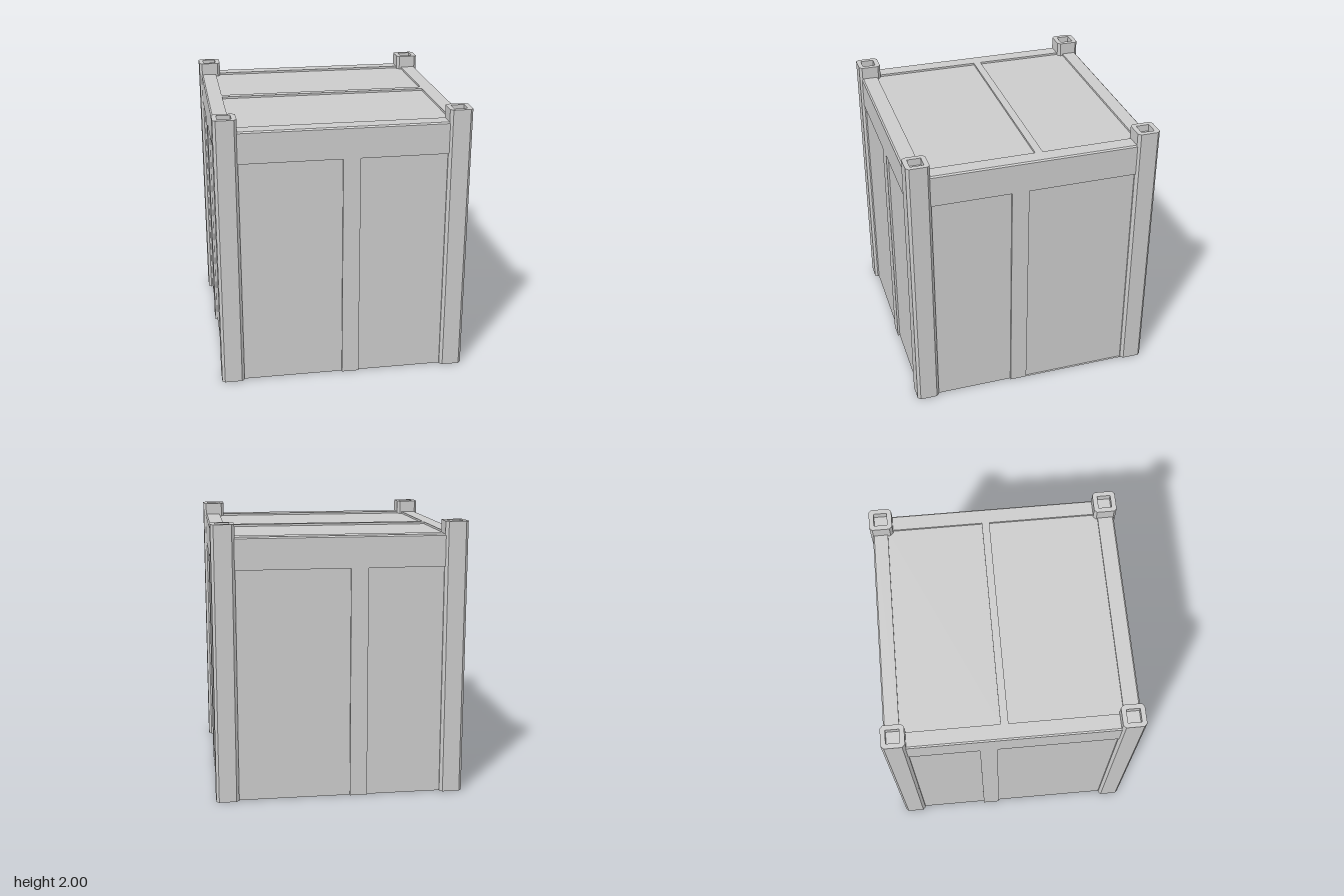
import * as THREE from 'three';

const grey = new THREE.MeshStandardMaterial({ color: 0xcccccc, side: THREE.DoubleSide });
grey.name = 'plain grey';

const POST = 0.823, HALF = 0.0825, OUT = 0.89, ROOF = 1.91, RECESS = 0.015;

// Flat-shaded surface from a list of four-cornered faces
function quads(name, faces) {
  const pos = [];
  for (const [a, b, c, d] of faces) pos.push(...a, ...b, ...c, ...a, ...c, ...d);
  const g = new THREE.BufferGeometry();
  g.setAttribute('position', new THREE.Float32BufferAttribute(pos, 3));
  g.computeVertexNormals();
  const m = new THREE.Mesh(g, grey);
  m.name = name;
  return m;
}

// Rectangle in the XY plane at depth z, facing +z
const rect = (x0, x1, y0, y1, z) => [[x0, y0, z], [x1, y0, z], [x1, y1, z], [x0, y1, z]];

// Sunken field: back plus top and side returns, optionally a bottom return
function sunken(name, x0, x1, y0, y1, z, closedBottom) {
  const b = z - RECESS;
  const faces = [
    rect(x0, x1, y0, y1, b),
    [[x0, y1, b], [x1, y1, b], [x1, y1, z], [x0, y1, z]],
    [[x0, y0, b], [x0, y1, b], [x0, y1, z], [x0, y0, z]],
    [[x1, y0, z], [x1, y1, z], [x1, y1, b], [x1, y0, b]],
  ];
  if (closedBottom) faces.push([[x0, y0, z], [x1, y0, z], [x1, y0, b], [x0, y0, b]]);
  return quads(name, faces);
}

// Wall: header rail, upright batten and a sunken panel on either side
function wall(name, b0, b1, angle, sill) {
  const w = 0.745, top = 1.9, rail = 1.68;
  const g = new THREE.Group();
  g.name = name;
  g.add(
    quads('headerRail', [rect(-w, w, rail, top, OUT)]),
    quads('batten', [rect(b0, b1, 0, rail, OUT)]),
    sunken('panelA', -w, b0, 0, rail, OUT, false),
    sunken('panelB', b1, w, 0, rail, OUT, sill),
  );
  g.rotation.y = angle;
  return g;
}

// Square outline with cut corners
function cutSquare(h, c) {
  return [[-h, -h + c], [-h + c, -h], [h - c, -h], [h, -h + c],
    [h, h - c], [h - c, h], [-h + c, h], [-h, h - c]].map(p => new THREE.Vector2(...p));
}

// Corner post: open tube below, rim and shallow square socket on top
function post(x, z) {
  const g = new THREE.Group();
  g.name = 'cornerPost';
  const ring = cutSquare(HALF, 0.02), s = 0.048, floor = 1.95;
  const sides = ring.map((p, i) => {
    const q = ring[(i + 1) % ring.length];
    return [[q.x, 0, q.y], [p.x, 0, p.y], [p.x, 2, p.y], [q.x, 2, q.y]];
  });
  const socket = [[-s, -s], [s, -s], [s, s], [-s, s]];
  const walls = socket.map(([ax, az], i) => {
    const [bx, bz] = socket[(i + 1) % 4];
    return [[ax, floor, az], [bx, floor, bz], [bx, 2, bz], [ax, 2, az]];
  });
  walls.push([[-s, floor, s], [s, floor, s], [s, floor, -s], [-s, floor, -s]]);
  const rimShape = new THREE.Shape(ring);
  rimShape.holes.push(new THREE.Path(socket.map(p => new THREE.Vector2(...p))));
  const rim = new THREE.Mesh(new THREE.ShapeGeometry(rimShape), grey);
  rim.name = 'postRim';
  rim.rotation.x = -Math.PI / 2;
  rim.position.y = 2;
  g.add(quads('postShaft', sides), quads('postSocket', walls), rim);
  g.position.set(x, 0, z);
  return g;
}

// Roof, drawn facing +z and tipped up: frame, cross bar, two sunken fields, bevel
function roof() {
  const g = new THREE.Group();
  g.name = 'roof';
  const e = 0.88, w = 0.775, front = -0.77, back = 0.78, bar0 = 0.03, bar1 = 0.085;
  g.add(
    quads('roofFrame', [
      rect(-e, e, -e, front, 0), rect(-e, e, back, e, 0),
      rect(-e, -w, front, back, 0), rect(w, e, front, back, 0),
    ]),
    quads('roofBar', [rect(-w, w, bar0, bar1, 0)]),
    sunken('roofPanelFront', -w, w, front, bar0, 0, true),
    sunken('roofPanelBack', -w, w, bar1, back, 0, true),
  );
  const inner = [[-e, -e], [e, -e], [e, e], [-e, e]];
  const k = OUT / e;
  g.add(quads('roofBevel', inner.map(([ax, ay], i) => {
    const [bx, by] = inner[(i + 1) % 4];
    return [[ax * k, ay * k, -0.01], [bx * k, by * k, -0.01], [bx, by, 0], [ax, ay, 0]];
  })));
  g.rotation.x = -Math.PI / 2;
  g.position.y = ROOF;
  return g;
}

export function createModel() {
  const model = new THREE.Group();
  model.name = 'crate';
  for (const x of [-POST, POST]) for (const z of [-POST, POST]) model.add(post(x, z));
  model.add(
    wall('frontWall', -0.01, 0.115, 0, false),
    wall('leftWall', -0.17, -0.045, Math.PI / 2, true),
    wall('backWall', 0.07, 0.195, Math.PI, false),
    wall('rightWall', -0.24, -0.115, -Math.PI / 2, false),
    roof(),
  );
  return model;
}
